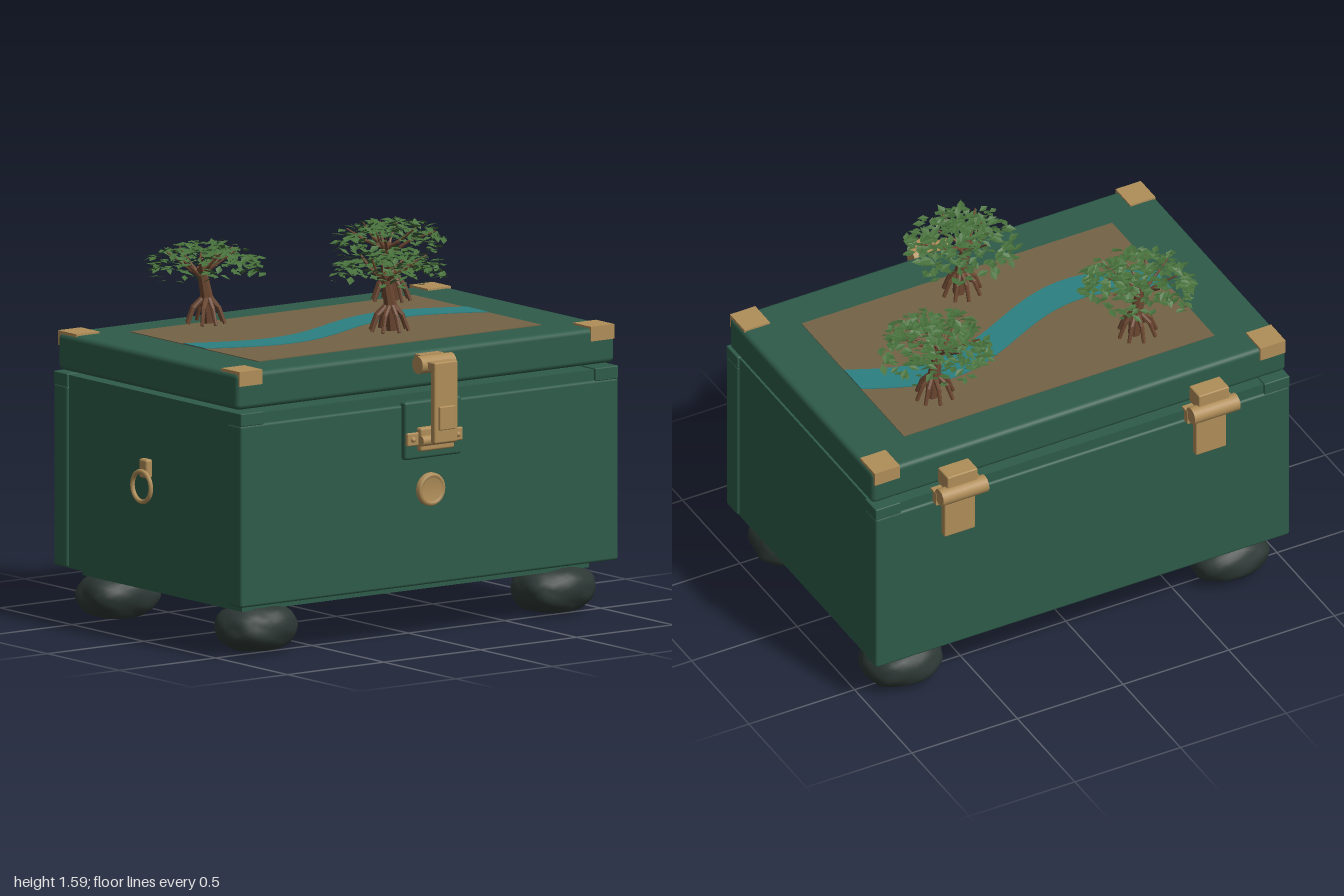
import * as THREE from 'three';
import { mergeGeometries, mergeVertices } from 'three/addons/utils/BufferGeometryUtils.js';
import { RoundedBoxGeometry } from 'three/addons/geometries/RoundedBoxGeometry.js';

const mat = (name, color, extra = {}) => {
  const m = new THREE.MeshStandardMaterial({ color, ...extra });
  m.name = name;
  return m;
};

// Small seeded random generator
function seeded(seed) {
  let s = seed;
  return () => (s = (s * 16807) % 2147483647) / 2147483647;
}

export function createModel() {
  const green = mat('chest green', 0x2e5b49);
  const brass = mat('brass', 0xaf8d58);
  const soil = mat('soil brown', 0x746246);
  const water = mat('river teal', 0x2b7f80);
  const bark = mat('bark brown', 0x6b4630, { flatShading: true });
  const leaf = mat('leaf green', 0x466f3a, { side: THREE.DoubleSide });
  const stone = mat('dark stone', 0x2d3835);

  const model = new THREE.Group();
  const add = (name, geo, material, parent = model) => {
    const m = new THREE.Mesh(geo, material);
    m.name = name;
    parent.add(m);
    return m;
  };
  // Box given by its limits on each axis; r rounds the edges
  const box = (name, [x0, x1], [y0, y1], [z0, z1], material, r = 0, parent = model) => {
    const size = [x1 - x0, y1 - y0, z1 - z0];
    const geo = r ? new RoundedBoxGeometry(...size, 3, r) : new THREE.BoxGeometry(...size);
    geo.translate((x0 + x1) / 2, (y0 + y1) / 2, (z0 + z1) / 2);
    return add(name, geo, material, parent);
  };
  // Cylinder along the x axis
  const bar = (name, x, y, z, r, length, material, parent = model) => {
    const m = add(name, new THREE.CylinderGeometry(r, r, length, 24).rotateZ(Math.PI / 2), material, parent);
    m.position.set(x, y, z);
    return m;
  };

  // Chest body: front and back panels, recessed sides and skirt
  const wide = [-0.965, 0.995];
  box('sidePanels', [-0.955, 0.985], [0.225, 0.995], [-0.6, 0.55], green);
  box('frontPanel', wide, [0.225, 0.995], [0.53, 0.63], green, 0.012);
  box('backPanel', wide, [0.225, 0.995], [-0.677, -0.58], green, 0.012);
  box('skirt', [-0.885, 0.915], [0.188, 0.24], [-0.58, 0.53], green);

  // Rim with stepped corner blocks
  box('rim', [-0.955, 0.985], [0.99, 1.04], [-0.667, 0.62], green);
  for (const x of [[-0.965, -0.845], [0.875, 0.995]])
    for (const z of [[-0.677, -0.58], [0.53, 0.63]])
      box('rimCorner', x, [0.99, 1.046], z, green, 0.005);

  // Lid with inset landscape
  box('lid', wide, [1.056, 1.211], [-0.647, 0.605], green, 0.022);
  box('soilPanel', [-0.717, 0.753], [1.206, 1.214], [-0.475, 0.417], soil);
  const river = new THREE.Shape();
  const steps = 40;
  const bank = (i, side) => {
    const t = i / steps;
    return [-0.717 + 1.47 * t, -0.028 + 0.115 * Math.sin(t * Math.PI * 2) + side * 0.075];
  };
  river.moveTo(...bank(0, -1));
  for (let i = 1; i <= steps; i++) river.lineTo(...bank(i, -1));
  for (let i = steps; i >= 0; i--) river.lineTo(...bank(i, 1));
  add('river', new THREE.ExtrudeGeometry(river, { depth: 0.005, bevelEnabled: false })
    .rotateX(Math.PI / 2).translate(0, 1.217, 0), water);

  // Brass corner brackets: top plate with a lip over the front or back
  for (const x of [[-0.957, -0.838], [0.868, 0.988]])
    for (const s of [1, -1]) {
      const edge = s > 0 ? 0.609 : -0.655;
      const zs = (a, b) => [Math.min(a, b), Math.max(a, b)];
      box('cornerTop', x, [1.2, 1.219], zs(edge, edge - s * 0.128), brass);
      box('cornerLip', x, [1.157, 1.219], zs(edge, edge - s * 0.02), brass);
    }

  // Front latch
  const latch = new THREE.Group();
  latch.name = 'latch';
  model.add(latch);
  box('latchBackplate', [-0.132, 0.163], [0.765, 1.01], [0.615, 0.656], green, 0.012, latch);
  box('latchCatch', [-0.072, 0.104], [0.8, 0.9], [0.645, 0.685], brass, 0.01, latch);
  box('catchFlange', [-0.128, 0.16], [0.825, 0.88], [0.645, 0.668], brass, 0.006, latch);
  for (const x of [-0.1, 0.132]) {
    const rivet = add('rivet', new THREE.SphereGeometry(0.012, 12, 8), brass, latch);
    rivet.position.set(x, 0.852, 0.668);
  }
  bar('catchBar', 0.016, 0.845, 0.682, 0.022, 0.176, brass, latch);
  bar('latchBarrel', 0.016, 1.163, 0.66, 0.037, 0.176, brass, latch);
  box('latchMount', [-0.045, 0.076], [1.125, 1.2], [0.6, 0.645], brass, 0, latch);
  box('haspArm', [-0.045, 0.076], [1.148, 1.18], [0.66, 0.745], brass, 0.006, latch);
  box('hasp', [-0.045, 0.076], [0.838, 1.172], [0.713, 0.745], brass, 0.008, latch);
  box('haspPad', [-0.027, 0.055], [0.895, 0.995], [0.735, 0.757], brass, 0.005, latch);

  // Round boss below the latch, with raised rim
  const bossProfile = [[0, 0.018], [0.05, 0.018], [0.053, 0.026], [0.064, 0.026], [0.07, 0.018], [0.07, 0]]
    .reverse().map(([r, h]) => new THREE.Vector2(r, h));
  add('roundBoss', new THREE.LatheGeometry(bossProfile, 32).rotateX(Math.PI / 2), brass)
    .position.set(0.013, 0.628, 0.628);

  // Ring handle on the right side
  const ring = add('sideRing', new THREE.TorusGeometry(0.064, 0.01, 10, 32).rotateY(Math.PI / 2), brass);
  ring.position.set(-0.989, 0.65, -0.03);
  box('ringMount', [-0.985, -0.95], [0.685, 0.765], [-0.058, -0.002], brass, 0.01);

  // Back hinges
  for (const x of [-0.578, 0.612]) {
    const hinge = new THREE.Group();
    hinge.name = 'hinge';
    hinge.position.x = x;
    model.add(hinge);
    box('hingeUpper', [-0.072, 0.072], [1.06, 1.138], [-0.73, -0.64], brass, 0.006, hinge);
    box('hingeWeb', [-0.11, 0.11], [0.99, 1.05], [-0.7, -0.65], brass, 0, hinge);
    box('hingeLower', [-0.072, 0.072], [0.815, 1.03], [-0.705, -0.67], brass, 0.005, hinge);
    bar('hingeBarrel', 0, 1.046, -0.724, 0.038, 0.216, brass, hinge);
  }

  // Stone feet: lumpy flattened spheres
  for (const [i, [x, z]] of [[-0.757, 0.455], [0.785, 0.455], [-0.757, -0.505], [0.785, -0.505]].entries()) {
    let geo = new THREE.IcosahedronGeometry(1, 5);
    geo.deleteAttribute('normal');
    geo.deleteAttribute('uv');
    geo = mergeVertices(geo, 1e-4);
    const p = geo.attributes.position;
    const v = new THREE.Vector3();
    for (let k = 0; k < p.count; k++) {
      v.fromBufferAttribute(p, k);
      const lump = 0.97 + 0.04 * Math.sin(4 * v.x + i) * Math.cos(5 * v.z + v.y * 3)
        + 0.025 * Math.sin(9 * v.y + 6 * v.x + i * 2) * Math.cos(8 * v.z);
      // Squarer outline than an ellipsoid
      const square = 1 / Math.pow(Math.abs(v.x) ** 2.4 + Math.abs(v.y) ** 2.4 + Math.abs(v.z) ** 2.4, 1 / 2.4);
      v.multiplyScalar(lump * square);
      p.setXYZ(k, v.x * 0.178, v.y * 0.104, v.z * 0.15);
    }
    geo.computeVertexNormals();
    add('stoneFoot', geo, stone).position.set(x, 0.106, z);
  }

  // Mangrove trees with prop roots and flat leafy crowns
  const V = (x, y, z) => new THREE.Vector3(x, y, z);
  const limb = (a, b, r0, r1) => {
    const d = b.clone().sub(a);
    const geo = new THREE.CylinderGeometry(r1, r0, d.length(), 7);
    geo.applyQuaternion(new THREE.Quaternion().setFromUnitVectors(V(0, 1, 0), d.normalize()));
    const c = a.clone().add(b).multiplyScalar(0.5);
    return geo.translate(c.x, c.y, c.z);
  };
  const makeTree = (x, z, seed) => {
    const rnd = seeded(seed);
    const tree = new THREE.Group();
    tree.name = 'mangroveTree';
    tree.position.set(x, 1.24, z);
    model.add(tree);

    const wood = [
      limb(V(0.015, 0, 0), V(0.005, 0.11, 0), 0.026, 0.028),
      limb(V(0.005, 0.1, 0), V(-0.025, 0.24, 0), 0.028, 0.02),
    ];
    for (let i = 0; i < 8; i++) {
      const a = (i + 0.3 * rnd()) / 8 * Math.PI * 2, c = Math.cos(a), s = Math.sin(a);
      wood.push(limb(V(0.005 + c * 0.012, 0.11, s * 0.012), V(c * 0.058, 0.065, s * 0.055), 0.012, 0.01));
      wood.push(limb(V(c * 0.056, 0.069, s * 0.053), V(c * 0.084, 0, s * 0.078), 0.01, 0.008));
    }
    for (let i = 0; i < 9; i++) {
      const a = (i + 0.5 * rnd()) / 9 * Math.PI * 2, r = 0.1 + 0.09 * rnd();
      const mid = V(-0.02 + Math.cos(a) * r * 0.5, 0.255, Math.sin(a) * r * 0.5);
      wood.push(limb(V(-0.02, 0.19 + 0.03 * rnd(), 0), mid, 0.01, 0.006));
      wood.push(limb(mid, V(Math.cos(a) * r, 0.29 + 0.03 * rnd(), Math.sin(a) * r), 0.006, 0.003));
    }
    add('trunkAndRoots', mergeGeometries(wood), bark, tree);

    // Folded diamond leaves scattered through the crown
    const pos = [];
    const o = new THREE.Object3D();
    const corners = [[-0.026, 0, 0], [0, 0.003, 0.015], [0.026, 0, 0], [0, 0.003, -0.015]];
    for (let i = 0; i < 330; i++) {
      const a = rnd() * Math.PI * 2, q = Math.pow(rnd(), 0.58), r = 0.238 * q;
      const y = 0.345 - 0.07 * q * q - 0.075 * rnd();
      o.position.set(Math.cos(a) * r, y, Math.sin(a) * r);
      o.rotation.set((rnd() - 0.5) * 0.8, rnd() * Math.PI * 2, (rnd() - 0.5) * 0.8);
      o.scale.setScalar(0.8 + 0.4 * rnd());
      o.updateMatrix();
      const w = corners.map(c => V(...c).applyMatrix4(o.matrix));
      for (const k of [0, 1, 2, 0, 2, 3]) pos.push(w[k].x, w[k].y, w[k].z);
    }
    const leaves = new THREE.BufferGeometry();
    leaves.setAttribute('position', new THREE.Float32BufferAttribute(pos, 3));
    leaves.computeVertexNormals();
    add('leaves', leaves, leaf, tree);
  };
  makeTree(-0.428, -0.335, 11);
  makeTree(0.52, -0.315, 57);
  makeTree(0.077, 0.265, 93);

  return model;
}
